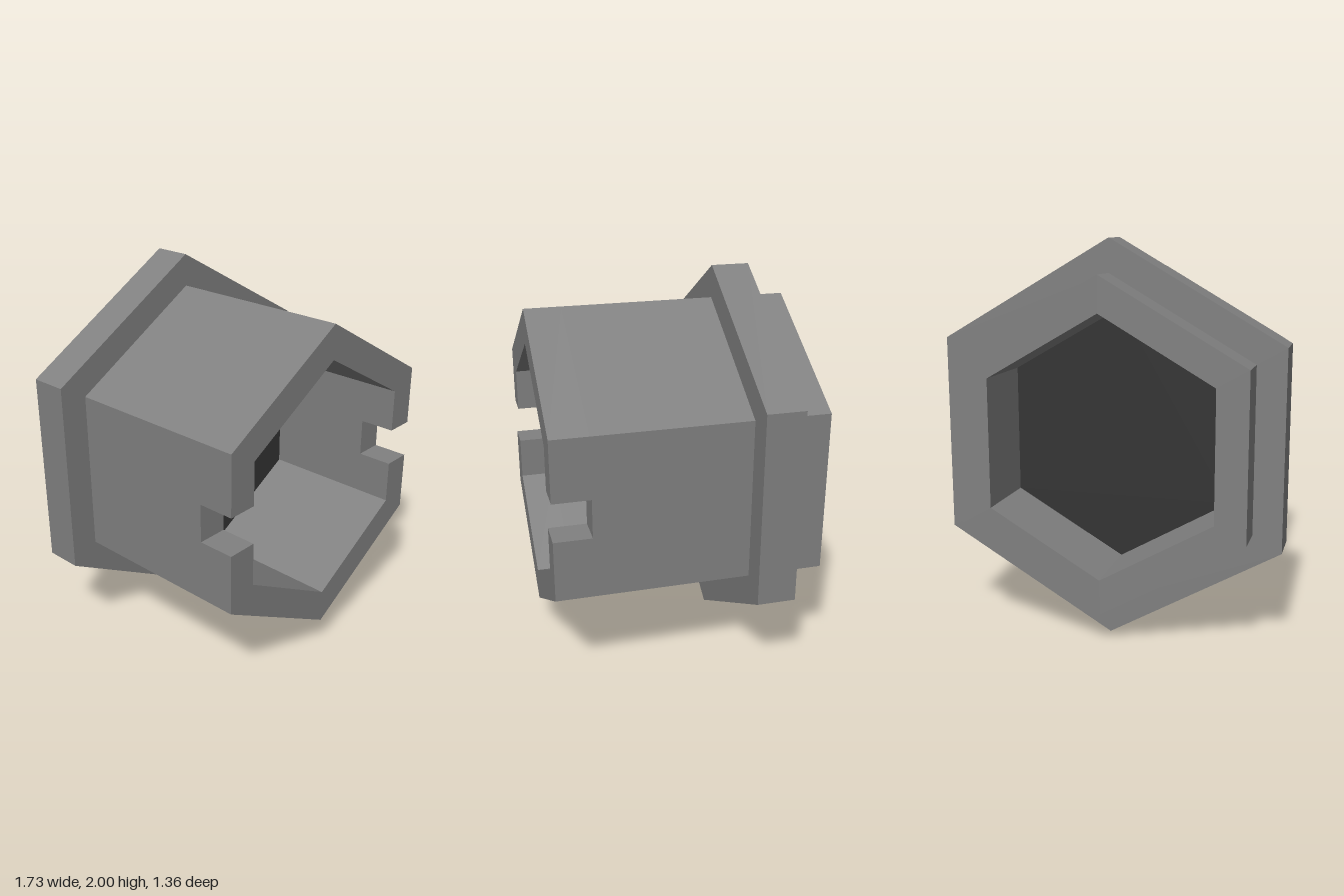
import * as THREE from 'three';

const OUTER = 0.833, INNER = 0.654, FLANGE = 1, NOTCH = 0.1;

// Hexagon corners, one point straight up
function hexPoints(radius) {
  return Array.from({ length: 6 }, (_, i) => {
    const a = Math.PI / 2 + (i * Math.PI) / 3;
    return new THREE.Vector2(radius * Math.cos(a), radius * Math.sin(a));
  });
}

function hexShape(radius, holeRadius) {
  const shape = new THREE.Shape(hexPoints(radius));
  if (holeRadius) shape.holes.push(new THREE.Path(hexPoints(holeRadius)));
  return shape;
}

// Half of the hexagonal wall, stopping short of the side notches
function halfWallShape(sign) {
  const arch = (r) => {
    const w = r * Math.cos(Math.PI / 6);
    return [[w, NOTCH], [w, r / 2], [0, r], [-w, r / 2], [-w, NOTCH]];
  };
  const points = [...arch(OUTER), ...arch(INNER).reverse()];
  return new THREE.Shape(points.map(([x, y]) => new THREE.Vector2(x, y * sign)));
}

export function createModel() {
  const model = new THREE.Group();
  model.name = 'hexSocket';

  const grey = new THREE.MeshStandardMaterial({ color: 0x808080 });
  grey.name = 'grey';
  const darkGrey = new THREE.MeshStandardMaterial({ color: 0x333333 });
  darkGrey.name = 'darkGrey';

  // Extrudes a shape between two depths, centred at y = 1
  function addPart(name, shape, zBack, zFront, material) {
    const geometry = new THREE.ExtrudeGeometry(shape, { depth: zFront - zBack, bevelEnabled: false });
    const mesh = new THREE.Mesh(geometry, material);
    mesh.name = name;
    mesh.position.set(0, 1, zBack);
    model.add(mesh);
  }

  // Hollow body, with the front lip split by the two side notches
  addPart('body', hexShape(OUTER, INNER), -0.68, 0.49, grey);
  addPart('upperLip', halfWallShape(1), 0.49, 0.68, grey);
  addPart('lowerLip', halfWallShape(-1), 0.49, 0.68, grey);

  // Collar around the rear
  addPart('flange', hexShape(FLANGE, OUTER), -0.49, -0.295, grey);

  // Dark partition closing the bore
  addPart('partition', hexShape(INNER), -0.29, -0.09, darkGrey);

  return model;
}
